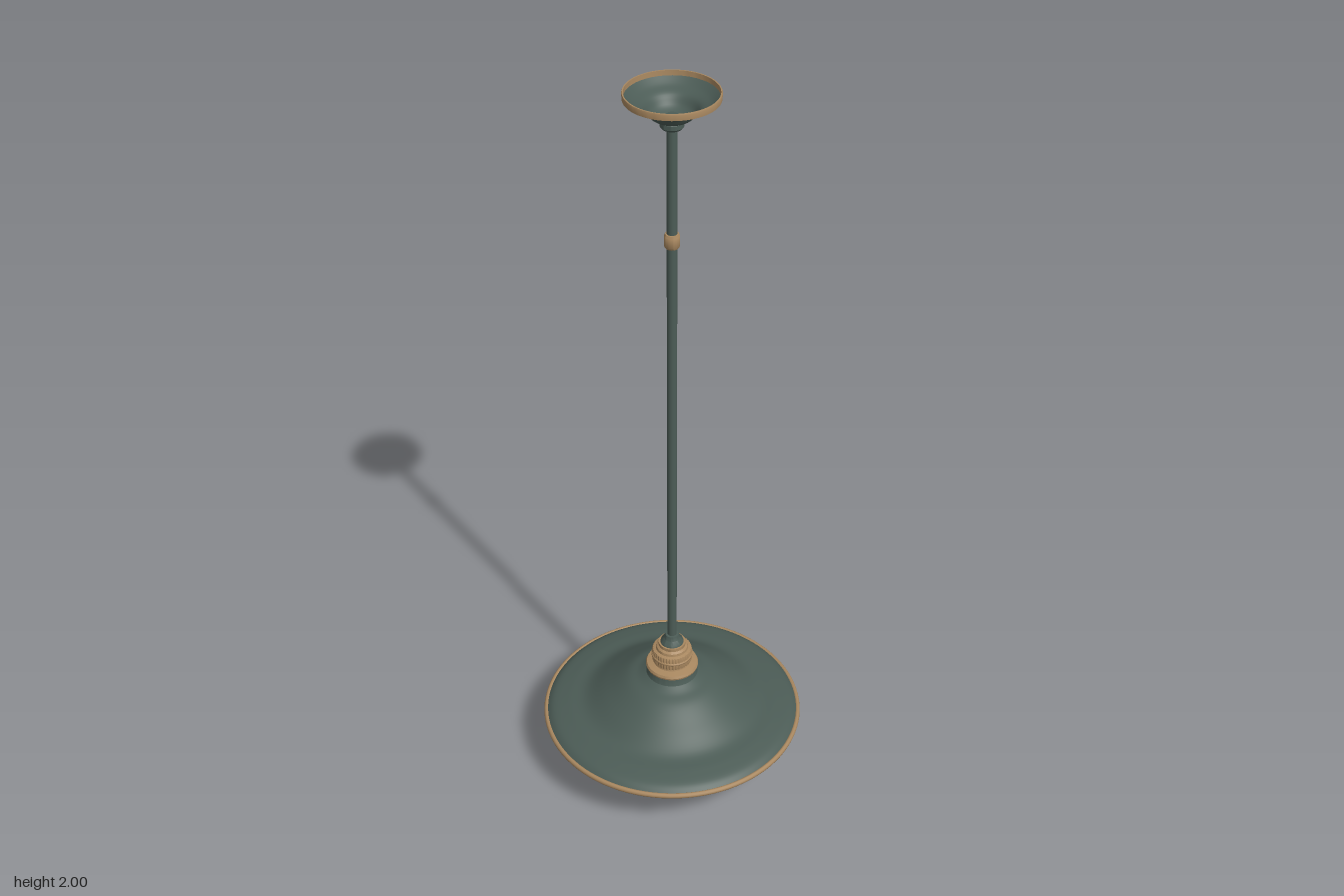
import * as THREE from 'three';
import { toCreasedNormals } from 'three/addons/utils/BufferGeometryUtils.js';

const material = (name, color, side = THREE.FrontSide) => {
  const m = new THREE.MeshStandardMaterial({ color, side });
  m.name = name;
  return m;
};
const vectors = (pts) => pts.map(([r, y]) => new THREE.Vector2(r, y));
const smooth = (pts, n) => new THREE.SplineCurve(vectors(pts)).getPoints(n)
  .map((p) => new THREE.Vector2(Math.max(p.x, 0), p.y));

// Ripple a lathed surface around its axis; depth depends on radius
function flute(geo, count, depth) {
  const p = geo.attributes.position;
  for (let i = 0; i < p.count; i++) {
    const x = p.getX(i), z = p.getZ(i), r = Math.hypot(x, z);
    if (r < 1e-5) continue;
    const k = 1 + depth(r) * (Math.abs(Math.cos(Math.atan2(z, x) * count / 2)) - 1) / r;
    p.setX(i, x * k);
    p.setZ(i, z * k);
  }
  geo.computeVertexNormals();
  return geo;
}

export function createModel() {
  const group = new THREE.Group();
  const green = material('green enamel', 0x4c5c56, THREE.DoubleSide);
  const brass = material('aged brass', 0xa98860);
  const glass = material('cream glass', 0xc8b899, THREE.DoubleSide);

  const add = (name, geo, mat, y = 0) => {
    const mesh = new THREE.Mesh(geo, mat);
    mesh.name = name;
    mesh.position.y = y;
    group.add(mesh);
    return mesh;
  };
  const turned = (pts, segments = 48) =>
    toCreasedNormals(new THREE.LatheGeometry(vectors(pts), segments), 0.6);
  const ring = (name, radius, tube, y, flat = 1) => {
    const geo = new THREE.TorusGeometry(radius, tube, 10, 96).rotateX(Math.PI / 2);
    return add(name, geo.scale(1, flat, 1), brass, y);
  };

  // Ceiling canopy: an open dish with a brass lip
  add('canopy', new THREE.LatheGeometry(smooth([
    [0.014, 1.928], [0.032, 1.932], [0.05, 1.942], [0.066, 1.962], [0.09, 1.974], [0.109, 1.988],
  ], 24), 72), green);
  add('canopyLip', turned([
    [0.108, 1.982], [0.112, 1.984], [0.113, 1.997], [0.112, 2], [0.109, 2], [0.108, 1.982],
  ], 96), brass);
  add('canopyCollar', turned([
    [0, 1.912], [0.024, 1.912], [0.028, 1.917], [0.028, 1.928], [0.022, 1.934], [0, 1.934],
  ]), green);
  ring('canopyInnerRing', 0.0135, 0.002, 1.936);

  // Stem with its coupling
  add('stem', new THREE.CylinderGeometry(0.0125, 0.0125, 1.56, 32), green, 1.165);
  add('stemCoupling', turned([
    [0, 1.603], [0.016, 1.603], [0.019, 1.608], [0.019, 1.634], [0.016, 1.64], [0, 1.64],
  ]), brass);

  // Socket stack, from the stem down to the shade
  add('stemCone', turned([
    [0, 0.38], [0.032, 0.38], [0.03, 0.388], [0.021, 0.397], [0.018, 0.41], [0, 0.412],
  ]), green);
  add('socketCap', turned([
    [0, 0.362], [0.044, 0.362], [0.042, 0.37], [0.036, 0.374], [0.036, 0.383], [0, 0.383],
  ]), brass);
  add('socketGrip', toCreasedNormals(flute(new THREE.LatheGeometry(vectors([
    [0.044, 0.32], [0.053, 0.324], [0.054, 0.33], [0.054, 0.355], [0.052, 0.361], [0.042, 0.364],
  ]), 160), 40, () => 0.002), 0.5), brass);
  ring('socketBand', 0.052, 0.004, 0.343);
  add('socketSeat', turned([
    [0, 0.303], [0.07, 0.303], [0.071, 0.308], [0.068, 0.314], [0.05, 0.317], [0.048, 0.324], [0, 0.324],
  ]), brass);

  // Shade: short neck flowing into a wide bell brim
  add('shadeNeck', turned([
    [0.073, 0.274], [0.069, 0.282], [0.066, 0.304], [0, 0.306],
  ], 72), green);
  add('shade', new THREE.LatheGeometry(smooth([
    [0.345, 0.15], [0.325, 0.165], [0.285, 0.175], [0.235, 0.185], [0.18, 0.22],
    [0.125, 0.256], [0.09, 0.27], [0.07, 0.281],
  ], 40), 128), green);
  ring('shadeRim', 0.3455, 0.0065, 0.148, 1.15);

  // Fluted glass bowl; the ribs die out toward the middle
  const bowl = new THREE.LatheGeometry(smooth([
    [0, 0.011], [0.04, 0.012], [0.085, 0.018], [0.13, 0.03], [0.18, 0.056],
    [0.218, 0.09], [0.238, 0.125], [0.244, 0.155], [0.243, 0.178],
  ], 36), 288);
  add('glassBowl', flute(bowl, 48, (r) => 0.006 * THREE.MathUtils.smoothstep(r, 0.06, 0.16)), glass);

  // Stepped button under the bowl
  add('bowlButton', turned([
    [0, 0], [0.018, 0.001], [0.024, 0.005], [0.032, 0.005], [0.042, 0.009],
    [0.054, 0.009], [0.064, 0.015],
  ], 72), glass);

  // Retaining screws around the bowl
  for (let i = 0; i < 4; i++) {
    const a = Math.PI / 4 + i * Math.PI / 2;
    const screw = add('bowlScrew', new THREE.SphereGeometry(0.006, 12, 8), brass, 0.152);
    screw.position.x = 0.249 * Math.cos(a);
    screw.position.z = 0.249 * Math.sin(a);
  }
  return group;
}
